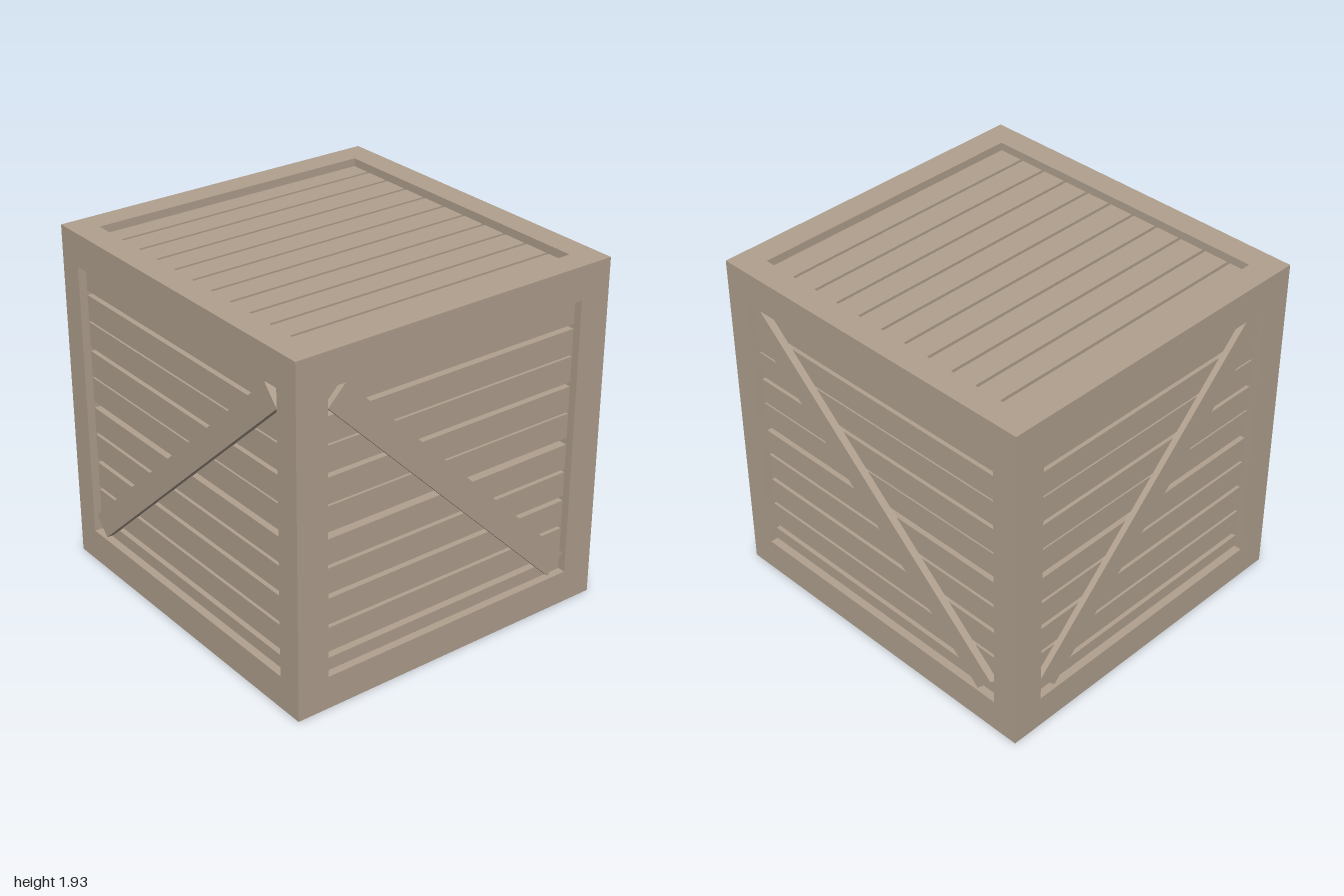
import * as THREE from 'three';

const W = 0.96, H = 1.93, D = 1.0;          // half width, height, half depth
const RECESS = 0.045, THICK = 0.05;         // slat setback and thickness
const LOW = 0.185, HIGH = 1.745;            // side openings

export function createModel() {
  const crate = new THREE.Group();
  crate.name = 'crate';
  const wood = new THREE.MeshStandardMaterial({ color: 0xb0a08e });
  const dark = new THREE.MeshStandardMaterial({ color: 0x0a0a0a });

  // Box given by its minimum and maximum corners
  const box = (name, [x0, y0, z0], [x1, y1, z1], material = wood) => {
    const mesh = new THREE.Mesh(new THREE.BoxGeometry(x1 - x0, y1 - y0, z1 - z0), material);
    mesh.position.set((x0 + x1) / 2, (y0 + y1) / 2, (z0 + z1) / 2);
    mesh.name = name;
    crate.add(mesh);
    return mesh;
  };
  // Range between two distances from the middle, on the given side
  const span = (s, a, b) => (s > 0 ? [a, b] : [-b, -a]);

  // Solid spans left between gaps given as [centre, width]
  const slatSpans = (start, end, gaps) => {
    const spans = [];
    let from = start;
    for (const [c, w] of gaps) {
      spans.push([from, c - w / 2]);
      from = c + w / 2;
    }
    spans.push([from, end]);
    return spans;
  };
  const wallSlats = slatSpans(0.1, 1.83, [
    [0.275, 0.036], [0.44, 0.02], [0.61, 0.027], [0.775, 0.02], [0.945, 0.038],
    [1.11, 0.011], [1.27, 0.025], [1.43, 0.011], [1.59, 0.026],
  ]);
  const lidSlats = slatSpans(-0.9, 0.9,
    Array.from({ length: 10 }, (_, i) => [-0.73 + i * 0.159, 0.017]));

  // Dark interior seen through the gaps
  const inset = RECESS + THICK;
  box('interior', [-W + inset, inset, -D + inset], [W - inset, H - inset, D - inset], dark);

  for (const s of [1, -1]) {
    const side = s > 0 ? 'left' : 'right', end = s > 0 ? 'front' : 'back';

    // Corner posts
    for (const t of [1, -1]) {
      const [x0, x1] = span(s, 0.78, W), [z0, z1] = span(t, 0.855, D);
      box(`${side}${t > 0 ? 'Front' : 'Back'}Post`, [x0, 0, z0], [x1, H, z1]);
    }

    // Rails along the bottom and top edges
    const [rz0, rz1] = span(s, 0.855, D), [rx0, rx1] = span(s, 0.82, W);
    for (const [level, y0, y1] of [['Bottom', 0, LOW], ['Top', HIGH, H]]) {
      box(`${end}${level}Rail`, [-0.78, y0, rz0], [0.78, y1, rz1]);
      box(`${side}${level}Rail`, [rx0, y0, -0.855], [rx1, y1, 0.855]);
    }

    // Wall slats, tucked behind the frame
    const [sz0, sz1] = span(s, D - inset, D - RECESS);
    const [sx0, sx1] = span(s, W - inset, W - RECESS);
    for (const [y0, y1] of wallSlats) {
      box(`${end}Slat`, [-0.84, y0, sz0], [0.84, y1, sz1]);
      box(`${side}Slat`, [sx0, y0, -0.88], [sx1, y1, 0.88]);
    }

    // Diagonal braces
    const [bz0, bz1] = span(s, D - RECESS - 0.005, D - 0.012);
    const endBrace = box(`${end}Brace`, [-1.018, 0.895, bz0], [1.018, 1.04, bz1]);
    endBrace.rotation.z = -Math.PI / 4;

    const [bx0, bx1] = span(s, W - RECESS - 0.005, W - 0.004);
    const sideBrace = box(`${side}Brace`, [bx0, 0.9, -1.07], [bx1, 1.035, 1.07]);
    sideBrace.position.z = 0.012;
    sideBrace.rotation.x = -Math.atan2(1.44, 1.59);
  }

  // Lid and floor slats
  for (const [z0, z1] of lidSlats) {
    box('lidSlat', [-0.87, H - inset, z0], [0.87, H - RECESS, z1]);
    box('floorSlat', [-0.87, RECESS, z0], [0.87, inset, z1]);
  }
  return crate;
}
